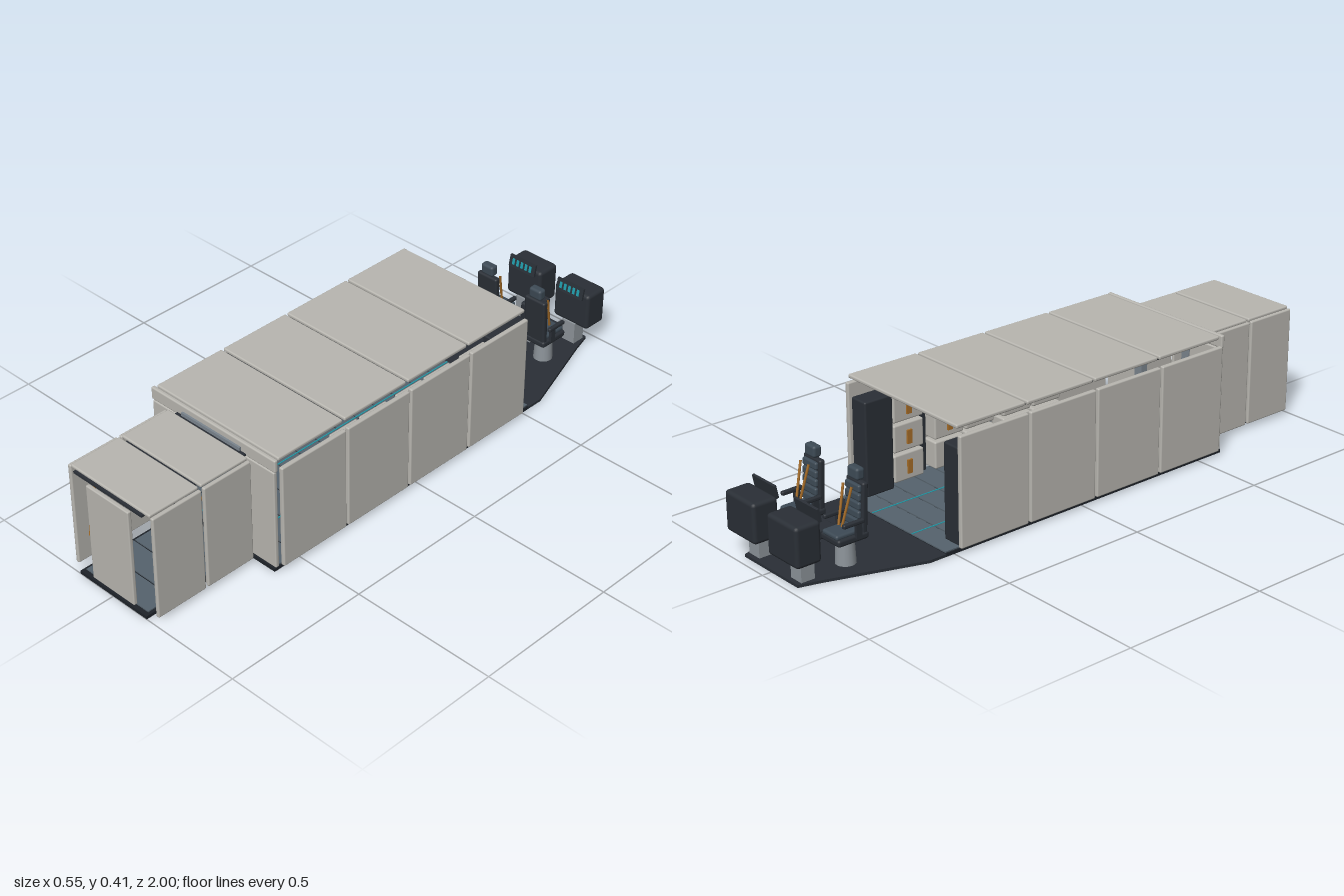
import * as THREE from 'three';
import { RoundedBoxGeometry } from 'three/addons/geometries/RoundedBoxGeometry.js';

const mat = (color) => new THREE.MeshStandardMaterial({ color });

export function createModel() {
  const root = new THREE.Group();
  const M = {
    panel: mat(0xb8b6b0), dark: mat(0x2a2f36), deck: mat(0x1e2329), frame: mat(0x7b858e),
    plate: mat(0x56636d), orange: mat(0xa86e28), teal: mat(0x1f9aa8), pad: mat(0x3d4a55), metal: mat(0x8d949a),
  };

  function add(name, geo, m, x = 0, y = 0, z = 0, parent = root) {
    const mesh = new THREE.Mesh(geo, m);
    mesh.name = name;
    mesh.position.set(x, y, z);
    parent.add(mesh);
    return mesh;
  }
  // Box given by its limits on each axis; r > 0 rounds the edges
  function box(name, m, [x0, x1], [y0, y1], [z0, z1], r = 0, parent = root) {
    const s = [x1 - x0, y1 - y0, z1 - z0];
    const geo = r ? new RoundedBoxGeometry(...s, 2, Math.min(r, Math.min(...s) * 0.49)) : new THREE.BoxGeometry(...s);
    return add(name, geo, m, (x0 + x1) / 2, (y0 + y1) / 2, (z0 + z1) / 2, parent);
  }
  // The same box on both sides of x = 0
  function pair(name, m, [x0, x1], y, z, r = 0, parent = root) {
    box(name + 'Left', m, [x0, x1], y, z, r, parent);
    box(name + 'Right', m, [-x1, -x0], y, z, r, parent);
  }

  // Base decks
  box('mainDeck', M.deck, [-0.255, 0.255], [0, 0.011], [-0.53, 0.6]);
  box('entryDeck', M.deck, [-0.145, 0.145], [0, 0.011], [0.6, 1]);
  const outline = new THREE.Shape([
    [-0.255, 0.53], [0.255, 0.53], [0.255, 0.59], [0.15, 0.9], [0.13, 0.97], [-0.13, 0.97], [-0.15, 0.9], [-0.255, 0.59],
  ].map(([x, y]) => new THREE.Vector2(x, y)));
  const cockpitDeck = new THREE.ExtrudeGeometry(outline, { depth: 0.009, bevelEnabled: false });
  cockpitDeck.rotateX(-Math.PI / 2);
  add('cockpitDeck', cockpitDeck, M.dark);

  // Floor plates with lit strips
  for (let i = 0; i < 13; i++) {
    const z = -0.53 + i * 0.0865;
    box('floorPlate', M.plate, [-0.25, 0.25], [0.011, 0.015], [z, z + 0.081]);
  }
  for (let i = 0; i < 4; i++) {
    const z = 0.615 + i * 0.094;
    box('entryFloorPlate', M.plate, [-0.135, 0.135], [0.011, 0.015], [z, z + 0.088]);
  }
  pair('floorLight', M.teal, [0.093, 0.097], [0.014, 0.0165], [-0.53, 0.58]);

  // Main cabin: four bays of wall and ceiling panels
  for (let i = 0; i < 4; i++) {
    const z = [-0.487 + i * 0.268, -0.487 + i * 0.268 + 0.26];
    pair('wallPanel', M.panel, [0.257, 0.273], [0.016, 0.374], z, 0.005);
    box('ceilingPanel', M.panel, [-0.257, 0.257], [0.392, 0.405], z, 0.005);
  }
  // Ribs behind the panel joints
  for (let i = 1; i < 4; i++) {
    const z = -0.491 + i * 0.268;
    const middle = i === 2;
    pair('rib', middle ? M.frame : M.dark, [0.235, 0.255], middle ? [0.08, 0.29] : [0.015, 0.34], [z - 0.012, z + 0.012]);
    box('ceilingBeam', M.dark, [-0.24, 0.24], [0.386, 0.394], [z - 0.01, z + 0.01]);
  }

  // Front bulkhead with doorway
  pair('bulkheadPanel', M.panel, [0.12, 0.257], [0.012, 0.36], [0.582, 0.596], 0.004);
  box('bulkheadLintel', M.panel, [-0.262, 0.262], [0.362, 0.405], [0.582, 0.596], 0.005);
  pair('doorPost', M.frame, [0.09, 0.123], [0.012, 0.385], [0.578, 0.603]);
  box('doorHeader', M.frame, [-0.123, 0.123], [0.362, 0.385], [0.578, 0.603]);

  // Entry passage
  for (const z of [[0.613, 0.793], [0.802, 0.985]]) {
    pair('entryWall', M.panel, [0.168, 0.182], [0.016, 0.374], z, 0.005);
    box('entryCeiling', M.panel, [-0.168, 0.168], [0.369, 0.381], z, 0.005);
  }
  for (const z of [0.606, 0.797, 0.986]) box('entryBeam', M.dark, [-0.145, 0.145], [0.366, 0.373], [z - 0.008, z + 0.008]);
  box('entryDoor', M.panel, [-0.09, 0.09], [0.016, 0.354], [0.984, 0.998], 0.004);
  for (const s of [-1, 1]) {
    const path = new THREE.CatmullRomCurve3([
      [0.155, 0.108, 0.945], [0.147, 0.27, 0.925], [0.144, 0.307, 0.89], [0.144, 0.308, 0.76],
    ].map(([x, y, z]) => new THREE.Vector3(s * x, y, z)), false, 'centripetal');
    add('handrail', new THREE.TubeGeometry(path, 24, 0.005, 8), M.orange);
  }
  box('wallConsole', M.dark, [0.148, 0.166], [0.165, 0.29], [0.66, 0.75], 0.006);
  box('consoleButton', M.teal, [0.141, 0.149], [0.197, 0.209], [0.7, 0.712]);

  // Cabinets by the cockpit and strapped lockers along the walls
  pair('cabinet', M.dark, [0.185, 0.253], [0.016, 0.33], [-0.48, -0.375], 0.006);
  for (const z of [-0.365, -0.205, -0.08, 0.075, 0.2]) {
    for (let row = 0; row < 3; row++) {
      const y = 0.025 + row * 0.1;
      pair('locker', M.panel, [0.195, 0.253], [y, y + 0.092], [z, z + 0.115], 0.006);
      pair('lockerStrap', M.orange, [0.189, 0.197], [y + 0.022, y + 0.068], [z + 0.048, z + 0.066]);
    }
  }

  // Pilot seats facing the rear end, each with its control console
  function station(x) {
    const seat = new THREE.Group();
    seat.name = 'pilotSeat';
    seat.position.set(x, 0, 0);
    root.add(seat);
    add('pedestal', new THREE.CylinderGeometry(0.028, 0.032, 0.08, 16), M.metal, 0, 0.048, -0.78, seat);
    box('seatBase', M.dark, [-0.045, 0.045], [0.085, 0.108], [-0.835, -0.725], 0.008, seat);
    box('cushion', M.pad, [-0.036, 0.036], [0.104, 0.12], [-0.835, -0.745], 0.007, seat);
    const back = new THREE.Group();
    back.name = 'backrest';
    back.position.set(0, 0.1, -0.74);
    back.rotation.x = 0.05;
    seat.add(back);
    box('backShell', M.dark, [-0.042, 0.042], [0, 0.16], [-0.008, 0.012], 0.007, back);
    for (let i = 0; i < 5; i++) box('backPad', M.pad, [-0.034, 0.034], [0.02 + i * 0.027, 0.044 + i * 0.027], [-0.018, -0.004], 0.006, back);
    box('headrest', M.pad, [-0.025, 0.025], [0.162, 0.2], [-0.018, 0.012], 0.009, back);
    for (const s of [-1, 1]) {
      box('armrest', M.dark, [s * 0.046 - 0.007, s * 0.046 + 0.007], [0.142, 0.156], [-0.82, -0.745], 0.005, seat);
      box('armPost', M.dark, [s * 0.046 - 0.005, s * 0.046 + 0.005], [0.1, 0.145], [-0.775, -0.755], 0, seat);
      const strap = new THREE.LineCurve3(new THREE.Vector3(s * 0.02, 0.25, -0.765), new THREE.Vector3(s * 0.008, 0.13, -0.795));
      add('harness', new THREE.TubeGeometry(strap, 1, 0.004, 6), M.orange, 0, 0, 0, seat);
    }

    const desk = new THREE.Group();
    desk.name = 'controlConsole';
    desk.position.set(x, 0, 0);
    root.add(desk);
    box('consoleBody', M.dark, [-0.072, 0.072], [0.08, 0.21], [-1, -0.912], 0.012, desk);
    box('consoleLeg', M.metal, [-0.025, 0.025], [0.009, 0.085], [-0.955, -0.908], 0, desk);
    const screen = new THREE.Group();
    screen.name = 'screen';
    screen.position.set(0, 0.215, -0.905);
    screen.rotation.x = -0.2;
    desk.add(screen);
    box('screenPanel', M.dark, [-0.055, 0.055], [-0.02, 0.022], [-0.004, 0.004], 0, screen);
    for (let i = 0; i < 5; i++) box('screenBar', M.teal, [-0.042 + i * 0.018, -0.032 + i * 0.018], [-0.01, 0.012], [0.003, 0.0055], 0, screen);
  }
  station(0.103);
  station(-0.103);

  // Centre console between the seats
  box('centreConsole', M.dark, [-0.028, 0.028], [0.06, 0.15], [-0.9, -0.75 - 0.06], 0.008);
  box('centreShelf', M.dark, [-0.026, 0.026], [0.06, 0.09], [-0.83, -0.75], 0.006);
  box('centreConsoleLeg', M.metal, [-0.02, 0.02], [0.009, 0.062], [-0.87, -0.81]);

  return root;
}
